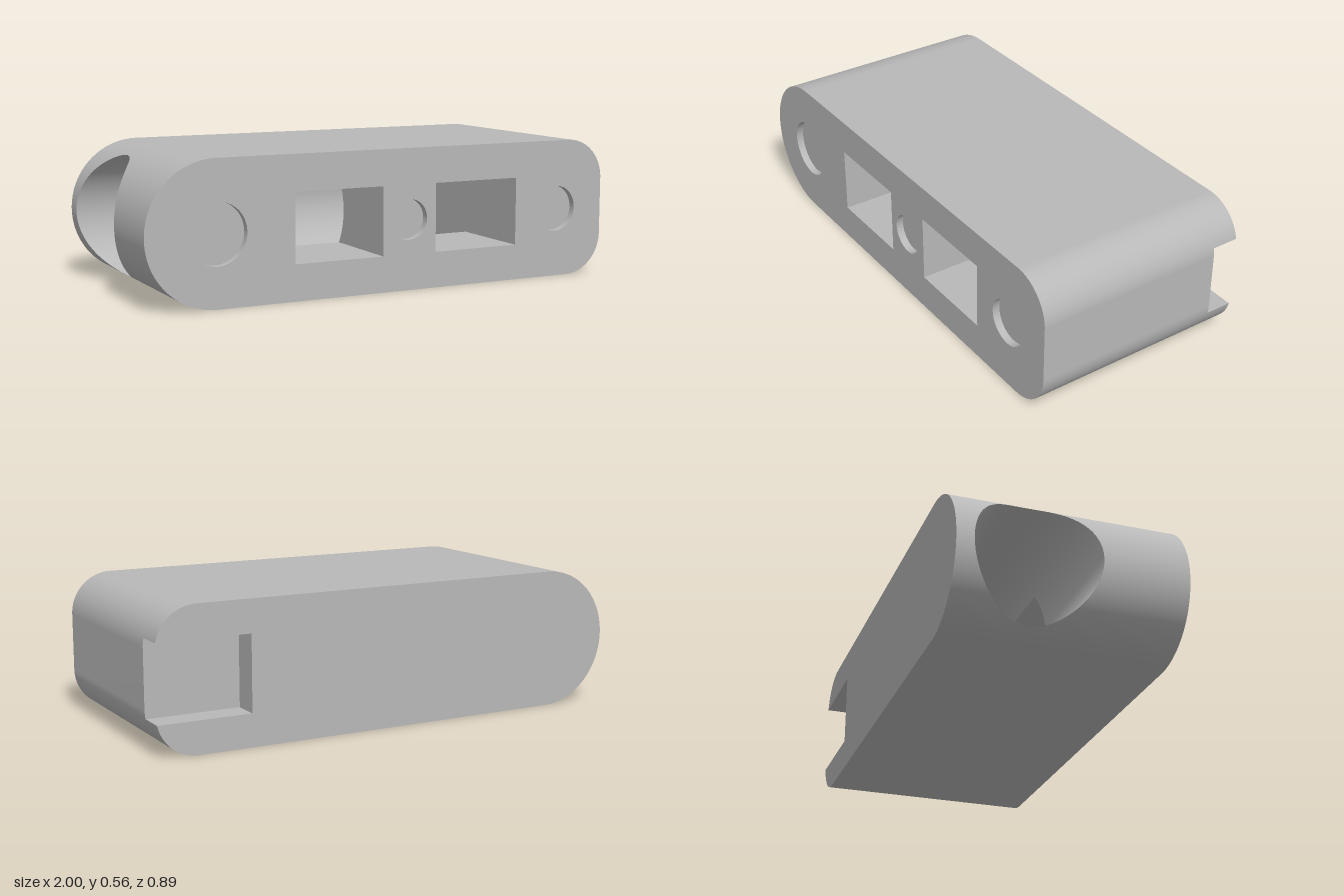
import * as THREE from 'three';

const HALF = 0.445;                                  // half depth of the block
const MID = 0.28;                                    // height of the centre line
const END = { x: -0.72, r: 0.28 };                   // fully rounded end
const COR = { x: 0.835, r: 0.165 };                  // rounded corners of the other end
const BORE = { z: -0.135, r: 0.243, end: 0.6 };      // blind hole along x
const SLOT = { x: 0.62, h: 0.15, z: -0.335 };        // notch at the back corner
const WIN = { h: 0.137, spans: [[-0.405, -0.03], [0.205, 0.58]] };
const RECESS = { depth: 0.03, list: [[-0.72, 0.12], [0.085, 0.08], [0.775, 0.093]] };

export function createModel() {
  const group = new THREE.Group();
  const grey = new THREE.MeshStandardMaterial({ color: 0xb8b8b8, side: THREE.DoubleSide });
  grey.name = 'plain grey';

  const add = (name, geometry) => {
    const mesh = new THREE.Mesh(geometry, grey);
    mesh.name = name;
    group.add(mesh);
    return mesh;
  };

  // Surface ruled between pairs of points
  const ruled = (name, pairs) => {
    const pos = [], idx = [];
    pairs.forEach(([a, b], i) => {
      pos.push(...a, ...b);
      if (i) { const k = 2 * i; idx.push(k - 2, k - 1, k + 1, k - 2, k + 1, k); }
    });
    const g = new THREE.BufferGeometry();
    g.setAttribute('position', new THREE.Float32BufferAttribute(pos, 3));
    g.setIndex(idx);
    g.computeVertexNormals();
    return add(name, g);
  };

  // Wall following an xy path between two depths: anticlockwise faces out, clockwise faces in
  const wall = (name, path, front, back) => {
    const at = (z, p) => (typeof z === 'function' ? z(p) : z);
    return ruled(name, path.map((p) => [[p[0], p[1], at(front, p)], [p[0], p[1], at(back, p)]]));
  };

  const arc = (cx, cy, r, a0, a1, n = 32) => Array.from({ length: n + 1 }, (_, i) => {
    const a = a0 + (a1 - a0) * i / n;
    return [cx + r * Math.cos(a), cy + r * Math.sin(a)];
  });

  // Flat face from an xy outline
  const face = (name, path, z, back = false, holes = []) => {
    const vec = (pts) => pts.map(([x, y]) => new THREE.Vector2(back ? -x : x, y));
    const shape = new THREE.Shape(vec(path));
    shape.holes = holes.map((h) => new THREE.Path(vec(h)));
    const mesh = add(name, new THREE.ShapeGeometry(shape));
    mesh.position.z = z;
    if (back) mesh.rotation.y = Math.PI;
  };

  // Outline pieces
  const PI = Math.PI;
  const mouthA = Math.asin(BORE.r / END.r);
  const cornerLow = COR.r, cornerHigh = 2 * MID - COR.r;
  const slotA = Math.asin((MID + SLOT.h - cornerHigh) / COR.r);
  const crown = [
    ...arc(COR.x, cornerHigh, COR.r, slotA, PI / 2),
    ...arc(END.x, MID, END.r, PI / 2, PI - mouthA),
  ];
  const mouth = arc(END.x, MID, END.r, PI - mouthA, PI + mouthA, 96);
  const base = [
    ...arc(END.x, MID, END.r, PI + mouthA, 1.5 * PI),
    ...arc(COR.x, cornerLow, COR.r, -PI / 2, -slotA),
  ];
  const nose = [
    ...arc(COR.x, cornerLow, COR.r, -slotA, 0, 6),
    ...arc(COR.x, cornerHigh, COR.r, 0, slotA, 6),
  ];

  // Outer skin, left open for the bore mouth and the slot
  wall('topSkin', crown, HALF, -HALF);
  wall('bottomSkin', base, HALF, -HALF);
  wall('flatEnd', nose, HALF, SLOT.z);
  const chord = (p) => Math.sqrt(Math.max(0, BORE.r ** 2 - (p[1] - MID) ** 2));
  wall('roundEndFront', mouth, HALF, (p) => BORE.z + chord(p));
  wall('roundEndBack', mouth, (p) => BORE.z - chord(p), -HALF);

  // Front and back faces
  const lo = MID - WIN.h, hi = MID + WIN.h;
  const windows = WIN.spans.map(([a, b]) => [[a, lo], [a, hi], [b, hi], [b, lo]]);
  const circles = RECESS.list.map(([x, r]) => arc(x, MID, r, 2 * PI, 0, 64));
  face('frontFace', [...crown, ...mouth.slice(1, -1), ...base, ...nose.slice(1, -1)], HALF, false,
    [...windows, ...circles.map((c) => c.slice(0, -1))]);
  const slotLow = [SLOT.x, MID - SLOT.h], slotHigh = [SLOT.x, MID + SLOT.h];
  face('backFace', [...crown, ...mouth.slice(1, -1), ...base, slotLow, slotHigh], -HALF, true);

  // Corner slot
  face('slotFloor', [slotLow, ...nose, slotHigh], SLOT.z, true);
  wall('slotBottom', [nose[0], slotLow], SLOT.z, -HALF);
  wall('slotEnd', [slotLow, slotHigh], SLOT.z, -HALF);
  wall('slotTop', [slotHigh, nose[nose.length - 1]], SLOT.z, -HALF);

  // Shallow round recesses
  circles.forEach((c) => {
    wall('recessWall', c, HALF, HALF - RECESS.depth);
    face('recessFloor', c.slice(0, -1), HALF - RECESS.depth);
  });

  // Window tunnels running into the bore
  const winA = Math.asin(WIN.h / BORE.r);
  const toBore = (p) => BORE.z + chord(p);
  const rise = Array.from({ length: 25 }, (_, i) => MID + BORE.r * Math.sin(winA * (i / 12 - 1)));
  windows.forEach(([a, b, c, d]) => {
    wall('windowSide', rise.map((y) => [a[0], y]), HALF, toBore);
    wall('windowTop', [b, c], HALF, toBore);
    wall('windowSide', rise.map((y) => [c[0], y]).reverse(), HALF, toBore);
    wall('windowBottom', [d, a], HALF, toBore);
  });

  // Bore wall in strips, skipping the windows
  const mouthX = (h) => END.x - Math.sqrt(END.r ** 2 - h * h);
  const bore = (a0, a1, x0, x1, n) => ruled('boreWall', Array.from({ length: n + 1 }, (_, i) => {
    const a = a0 + (a1 - a0) * i / n;
    const h = BORE.r * Math.sin(a), z = BORE.z + BORE.r * Math.cos(a);
    return [[x1, MID + h, z], [x0 ?? mouthX(h), MID + h, z]];
  }));
  bore(winA, 2 * PI - winA, null, BORE.end, 96);
  const [[w0, w1], [w2, w3]] = WIN.spans;
  [[null, w0], [w1, w2], [w3, BORE.end]].forEach(([x0, x1]) => bore(-winA, winA, x0, x1, 24));
  const cap = add('boreEnd', new THREE.CircleGeometry(BORE.r, 64));
  cap.position.set(BORE.end, MID, BORE.z);
  cap.rotation.y = -PI / 2;

  return group;
}
